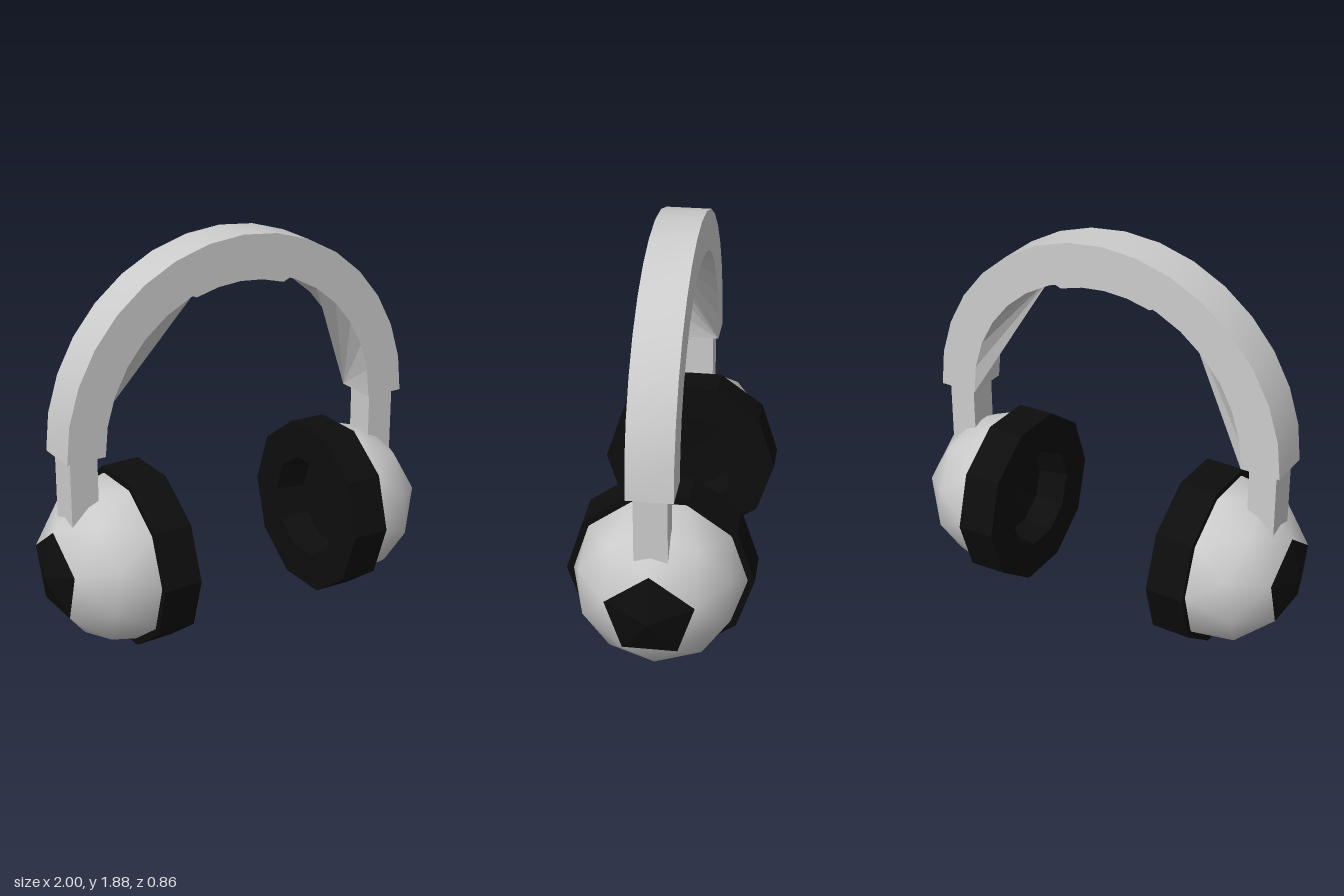
import * as THREE from 'three';
import { toCreasedNormals } from 'three/addons/utils/BufferGeometryUtils.js';

const grey = new THREE.MeshStandardMaterial({ color: 0xcccccc });
const greyFlat = new THREE.MeshStandardMaterial({ color: 0xcccccc, flatShading: true, side: THREE.DoubleSide });
const black = new THREE.MeshStandardMaterial({ color: 0x0d0d0d, flatShading: true });

const BAND_Y = 0.97, OUTER = 0.91, INNER = 0.72, HALF_DEPTH = 0.105, STEPS = 16;

function part(name, geometry, material, parent) {
  const mesh = new THREE.Mesh(geometry, material);
  mesh.name = name;
  parent.add(mesh);
  return mesh;
}

// Points on an arc about the band centre, angles from +x
function arc(radius, from, to, steps) {
  return Array.from({ length: steps + 1 }, (_, i) => {
    const a = from + (to - from) * i / steps;
    return new THREE.Vector2(radius * Math.cos(a), BAND_Y + radius * Math.sin(a));
  });
}

function extrudeCentred(points, halfDepth) {
  const geo = new THREE.ExtrudeGeometry(new THREE.Shape(points), { depth: halfDepth * 2, bevelEnabled: false });
  geo.translate(0, 0, -halfDepth);
  return toCreasedNormals(geo, 0.5);
}

// Faceted web bridging the inside of one band arm: two fans meeting on a diagonal
function webGeometry(side, count) {
  const pts = arc(INNER, 0, Math.PI, STEPS);
  const at = (i, z) => [side * pts[i].x, pts[i].y, z];
  const v = [];
  for (let i = 0; i < count; i++) {
    v.push(...at(0, -HALF_DEPTH), ...at(i, HALF_DEPTH), ...at(i + 1, HALF_DEPTH));
    v.push(...at(count, HALF_DEPTH), ...at(i, -HALF_DEPTH), ...at(i + 1, -HALF_DEPTH));
  }
  const geo = new THREE.BufferGeometry();
  geo.setAttribute('position', new THREE.Float32BufferAttribute(v, 3));
  geo.computeVertexNormals();
  return geo;
}

// Half of a subdivided icosahedron with its pole on +x, split into shell and pentagon cap
function domeGeometry(radius, wantCap) {
  const ball = new THREE.IcosahedronGeometry(radius, 1);
  ball.rotateZ(-Math.atan2((1 + Math.sqrt(5)) / 2, 1));
  const p = ball.attributes.position, n = ball.attributes.normal;
  const pos = [], nor = [];
  for (let i = 0; i < p.count; i += 3) {
    const xs = [p.getX(i), p.getX(i + 1), p.getX(i + 2)];
    if (xs[0] + xs[1] + xs[2] < 0.01) continue;
    const isCap = Math.max(...xs) > radius * 0.99;
    if (isCap !== wantCap) continue;
    for (let k = i; k < i + 3; k++) {
      pos.push(p.getX(k), p.getY(k), p.getZ(k));
      nor.push(n.getX(k), n.getY(k), n.getZ(k));
    }
  }
  const geo = new THREE.BufferGeometry();
  geo.setAttribute('position', new THREE.Float32BufferAttribute(pos, 3));
  geo.setAttribute('normal', new THREE.Float32BufferAttribute(nor, 3));
  return geo;
}

// Ten-sided ear cushion with a recessed opening, axis along x
function cushionGeometry() {
  const profile = [[0, -0.02], [0.22, -0.03], [0.25, -0.175], [0.43, -0.175], [0.43, 0.01], [0.385, 0.01]];
  const geo = new THREE.LatheGeometry(profile.map(([r, y]) => new THREE.Vector2(r, y)), 10);
  return geo.rotateZ(-Math.PI / 2);
}

export function createModel() {
  const model = new THREE.Group();
  model.name = 'headphones';

  // Headband arch
  const outline = [...arc(OUTER, 0, Math.PI, STEPS), ...arc(INNER, Math.PI, 0, STEPS)];
  part('headband', extrudeCentred(outline, HALF_DEPTH), grey, model);
  part('leftBandWeb', webGeometry(1, 5), greyFlat, model);
  part('rightBandWeb', webGeometry(-1, 6), greyFlat, model);

  // Crown pad under the top of the arch
  const mid = Math.PI / 2;
  const pad = [...arc(0.73, mid - 0.4, mid + 0.4, 4), ...arc(0.69, mid + 0.34, mid - 0.34, 4)];
  part('crownPad', extrudeCentred(pad, 0.08), grey, model);

  // Ear pieces, the right one turned half way round
  for (const [name, turn] of [['left', 0], ['right', Math.PI]]) {
    const side = new THREE.Group();
    side.name = name + 'EarPiece';
    side.rotation.y = turn;
    model.add(side);

    const stem = part(name + 'Stem', new THREE.BoxGeometry(0.135, 0.44, 0.15), grey, side);
    stem.position.set(0.815, 0.77, 0);

    const cup = new THREE.Group();
    cup.name = name + 'EarCup';
    cup.position.set(0.6, 0.41, 0);
    cup.rotation.z = -0.02;
    side.add(cup);
    part(name + 'Shell', domeGeometry(0.4, false), grey, cup);
    part(name + 'PentagonCap', domeGeometry(0.4, true), black, cup);
    part(name + 'Cushion', cushionGeometry(), black, cup);
  }
  return model;
}
